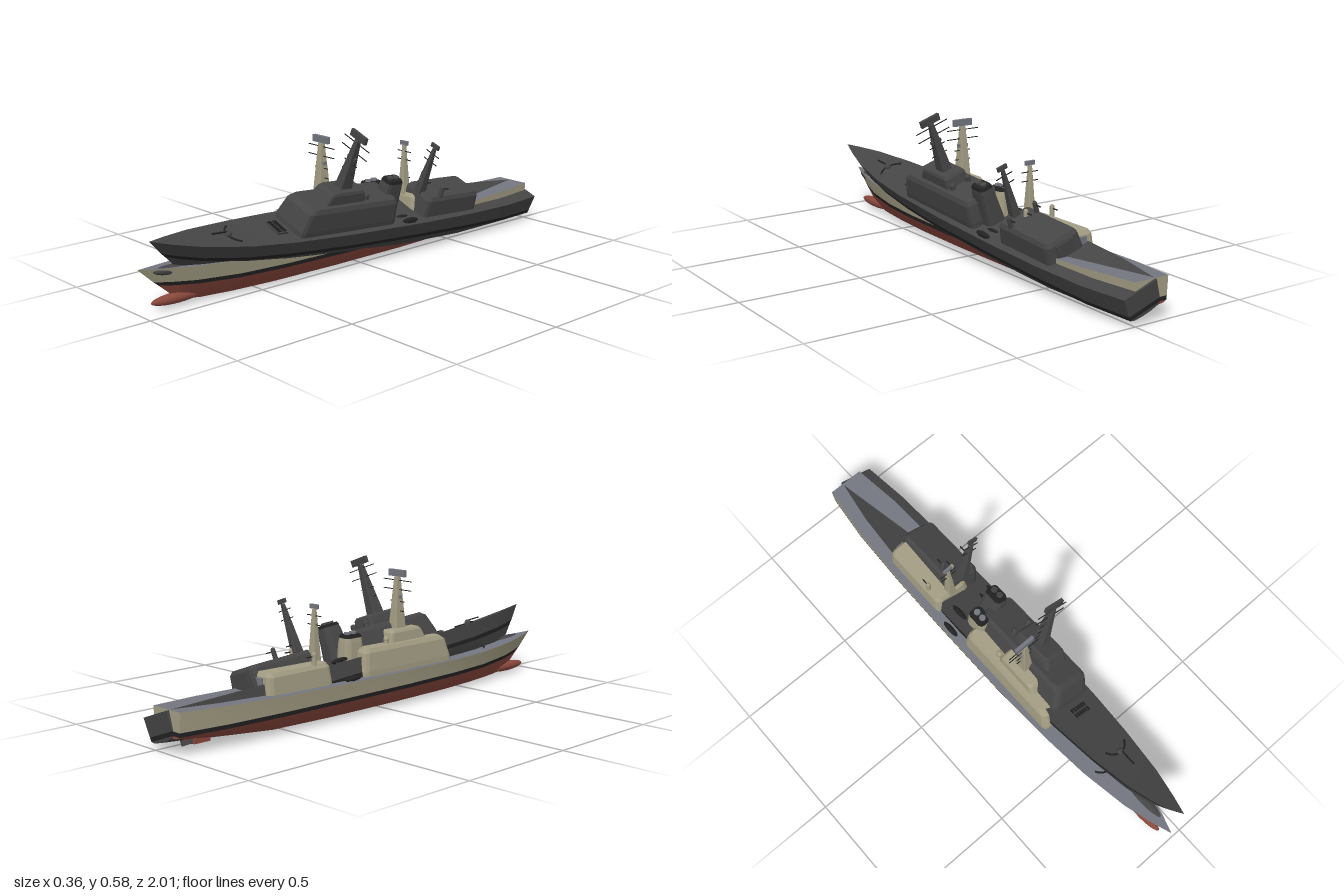
import * as THREE from 'three';

const mat = (name, color) => Object.assign(new THREE.MeshStandardMaterial({ color }), { name });

// Skin a list of equal-length cross-sections
function skin(rows, { closed = false, cap = false, flat = false } = {}) {
  const n = rows[0].length, pos = rows.flat(2), idx = [];
  for (let i = 0; i < rows.length - 1; i++) {
    for (let j = 0; j < (closed ? n : n - 1); j++) {
      const k = (j + 1) % n, a = i * n + j, b = a + n, c = i * n + k, d = c + n;
      idx.push(a, b, c, b, d, c);
    }
  }
  if (cap) {
    const t = (rows.length - 1) * n;
    for (let j = 1; j < n - 1; j++) idx.push(t, t + j + 1, t + j);
  }
  let g = new THREE.BufferGeometry();
  g.setAttribute('position', new THREE.Float32BufferAttribute(pos, 3));
  g.setIndex(idx);
  if (flat) g = g.toNonIndexed();
  g.computeVertexNormals();
  return g;
}

// Rounded rectangle ring: height, half width, aft z, fore z, corner radius
function ring([y, hx, z0, z1, r]) {
  const zc = (z0 + z1) / 2, hz = (z1 - z0) / 2, pts = [];
  for (let q = 0; q < 4; q++) {
    const sx = q === 0 || q === 3 ? 1 : -1, sz = q < 2 ? 1 : -1;
    for (let s = 0; s < 3; s++) {
      const a = (q + s / 2) * Math.PI / 2;
      pts.push([sx * (hx - r) + r * Math.cos(a), y, zc + sz * (hz - r) + r * Math.sin(a)]);
    }
  }
  return pts;
}

// Stations: z, deck half width, deck y, waterline, bilge, flat half widths, keel y
const STATIONS = [
  [-1, 0.075, 0.156, 0.07, 0.055, 0.02, 0.055],
  [-0.8, 0.1, 0.151, 0.093, 0.065, 0.025, 0.025],
  [-0.55, 0.111, 0.145, 0.103, 0.076, 0.032, 0.004],
  [-0.25, 0.115, 0.141, 0.106, 0.08, 0.036, 0],
  [0.1, 0.115, 0.14, 0.104, 0.078, 0.036, 0],
  [0.4, 0.106, 0.14, 0.09, 0.062, 0.028, 0],
  [0.6, 0.09, 0.142, 0.07, 0.044, 0.016, 0.002],
  [0.8, 0.059, 0.151, 0.042, 0.024, 0.006, 0.008],
  [0.92, 0.027, 0.159, 0.018, 0.01, 0.002, 0.018],
  [1, 0, 0.166, 0, 0, 0, 0.03],
];

// One side of a hull section, from deck edge down to the keel flat
function section([z, hw, yd, wl, bilge, flat, keel]) {
  const k = z > 0.5 ? ((z - 0.5) / 0.5) ** 2 : 0;
  const band = 0.067 + 0.023 * k;
  return [
    [hw, yd, z],
    [wl + (hw - wl) * 0.25, band + 0.016, z - 0.065 * k],
    [wl, band, z - 0.085 * k],
    [bilge, keel + (band - keel) * 0.36, z - 0.13 * k],
    [flat, keel, z - 0.16 * k],
  ];
}
const flip = ([x, y, z]) => [-x, y, z];

function buildShip(name, c) {
  const ship = new THREE.Group();
  ship.name = name;
  const add = (label, geo, m, x = 0, y = 0, z = 0) => {
    const mesh = new THREE.Mesh(geo, m);
    mesh.name = label;
    mesh.position.set(x, y, z);
    ship.add(mesh);
    return mesh;
  };
  const box = (label, w, h, d, m, x, y, z) => add(label, new THREE.BoxGeometry(w, h, d), m, x, y, z);
  const block = (label, rings, m) => add(label, skin(rings.map(ring), { closed: true, cap: true, flat: true }), m);

  // Hull in painted strakes
  const half = STATIONS.map(section);
  const strake = (label, from, to, m) => {
    const part = half.map(s => s.slice(from, to + 1));
    add(label + 'Left', skin(part), m);
    add(label + 'Right', skin(part.map(s => s.map(flip).reverse())), m);
  };
  strake('topsides', 0, 1, c.upper);
  strake('waterlineBand', 1, 2, c.black);
  strake('lowerHull', 2, 4, c.bottom);
  add('keelFlat', skin(half.map(s => [s[4], flip(s[4])])), c.bottom);
  add('deck', skin(half.map(s => [flip(s[0]), s[0]])), c.deck);

  // Transom follows the same paint levels
  const s0 = half[0];
  [[0, 1, c.upper], [1, 2, c.black], [2, 3, c.bottom], [3, 4, c.bottom]].forEach(([a, b, m]) =>
    add('transom', skin([[s0[a], s0[b]], [flip(s0[a]), flip(s0[b])]].reverse()), m));

  // Sonar bulb and rudders
  add('bowBulb', new THREE.SphereGeometry(1, 20, 14), c.bottom, 0, 0.029, 0.835).scale.set(0.022, 0.021, 0.115);
  for (const s of [-1, 1]) box('rudder', 0.008, 0.04, 0.07, c.bottom, s * 0.03, 0.04, -0.875);

  // Superstructure
  block('forwardHouse', [
    [0.13, 0.09, -0.125, 0.375, 0.02], [0.16, 0.089, -0.125, 0.373, 0.02],
    [0.23, 0.08, -0.115, 0.35, 0.02], [0.247, 0.07, -0.105, 0.325, 0.015]], c.house);
  block('bridge', [
    [0.24, 0.055, 0.05, 0.26, 0.012], [0.283, 0.05, 0.06, 0.235, 0.012], [0.293, 0.044, 0.068, 0.222, 0.01]], c.house);
  block('aftHouse', [
    [0.13, 0.085, -0.605, -0.285, 0.02], [0.21, 0.076, -0.6, -0.295, 0.02], [0.225, 0.066, -0.59, -0.305, 0.015]], c.house);
  box('hangarDoor', 0.08, 0.055, 0.006, c.trim, 0, 0.178, -0.603);

  // Funnel with exhaust cap
  block('funnel', [
    [0.13, 0.042, -0.175, -0.07, 0.02], [0.27, 0.032, -0.165, -0.078, 0.018], [0.29, 0.029, -0.162, -0.082, 0.016]], c.house);
  block('funnelCap', [[0.288, 0.03, -0.163, -0.081, 0.016], [0.3, 0.026, -0.159, -0.085, 0.014]], c.black);
  for (const z of [-0.138, -0.106])
    add('exhaust', new THREE.CylinderGeometry(0.013, 0.013, 0.012, 14), c.trim, 0, 0.302, z);

  // Masts with yards and radar panels
  block('mainMast', [[0.28, 0.023, 0.112, 0.172, 0.004], [0.497, 0.009, 0.132, 0.152, 0.002]], c.house);
  box('mainRadar', 0.087, 0.027, 0.014, c.trim, 0, 0.512, 0.142);
  [[0.483, 0.075], [0.446, 0.075], [0.398, 0.037], [0.36, 0.037]].forEach(([y, h]) =>
    box('yard', h * 2, 0.003, 0.003, c.black, 0, y, 0.142));
  for (const s of [-1, 1]) box('mastSensor', 0.012, 0.012, 0.014, c.trim, s * 0.017, 0.418, 0.142);
  block('aftMast', [[0.215, 0.017, -0.33, -0.29, 0.003], [0.42, 0.006, -0.317, -0.303, 0.002]], c.house);
  box('aftRadar', 0.042, 0.017, 0.01, c.trim, 0, 0.43, -0.31);
  for (const y of [0.36, 0.395]) box('aftYard', 0.075, 0.003, 0.003, c.black, 0, y, -0.31);

  for (const s of [-1, 1]) {
    // Domes, close-in mounts and boats
    add('domeBase', new THREE.CylinderGeometry(0.011, 0.012, 0.014, 14), c.house, s * 0.038, 0.253, 0.04);
    add('dome', new THREE.SphereGeometry(0.012, 14, 10), c.house, s * 0.038, 0.262, 0.04);
    add('mountBase', new THREE.CylinderGeometry(0.009, 0.01, 0.04, 12), c.house, s * 0.062, 0.242, -0.37);
    add('mountDome', new THREE.SphereGeometry(0.009, 12, 8), c.house, s * 0.062, 0.263, -0.37);
    box('mountBarrel', 0.004, 0.004, 0.03, c.black, s * 0.062, 0.256, -0.39);
    add('boat', new THREE.SphereGeometry(1, 14, 8), c.black, s * 0.094, 0.15, -0.2).scale.set(0.012, 0.011, 0.042);
    box('boatCradle', 0.022, 0.008, 0.05, c.trim, s * 0.092, 0.142, -0.2);
    // Curved breakwater wings
    const wing = new THREE.QuadraticBezierCurve3(
      new THREE.Vector3(0, 0.146, 0.66), new THREE.Vector3(s * 0.035, 0.146, 0.655), new THREE.Vector3(s * 0.053, 0.146, 0.625));
    add('breakwater', new THREE.TubeGeometry(wing, 8, 0.004, 6), c.black);
  }

  // Foredeck gun and launcher hatches
  add('gunMount', new THREE.SphereGeometry(0.015, 16, 10), c.house, 0, 0.148, 0.655);
  box('gunBarrel', 0.005, 0.005, 0.07, c.black, 0, 0.159, 0.695);
  box('launcherBase', 0.085, 0.008, 0.05, c.trim, 0, 0.144, 0.425);
  for (let i = 0; i < 6; i++)
    for (const z of [0.413, 0.437]) box('launcherHatch', 0.009, 0.004, 0.017, c.black, (i - 2.5) * 0.013, 0.149, z);
  return ship;
}

export function createModel() {
  const beige = mat('beigePaint', 0xa39d83), red = mat('redBottomPaint', 0x8a483d);
  const grey = mat('greyDeck', 0x747680), black = mat('blackTrim', 0x222222);
  const dark = mat('charredGrey', 0x454545);
  for (const m of [beige, red, grey, black, dark]) m.side = THREE.DoubleSide;

  const model = new THREE.Group();
  model.name = 'twinWarships';
  const painted = buildShip('paintedShip', { upper: beige, house: beige, bottom: red, deck: grey, trim: grey, black });
  painted.position.x = -0.07;
  // Dark copy, heeled to its left with the bow raised
  const heeled = buildShip('heeledDarkShip', { upper: dark, house: dark, bottom: dark, deck: dark, trim: dark, black });
  heeled.position.set(-0.066, 0.054, 0);
  heeled.rotation.set(-4.1 * Math.PI / 180, 0, -20 * Math.PI / 180);
  model.add(painted, heeled);
  return model;
}
